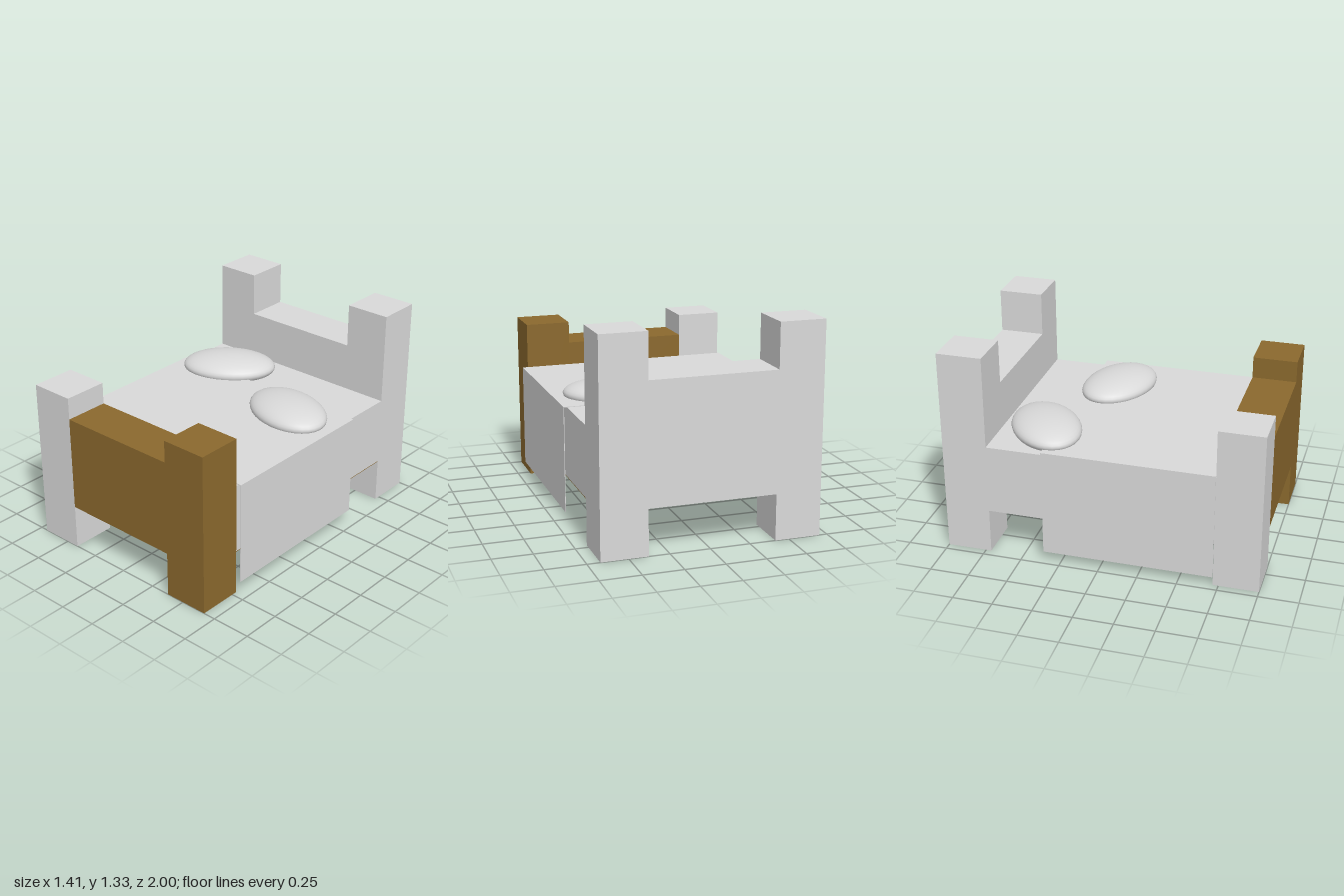
import * as THREE from 'three';

export function createModel() {
  const bed = new THREE.Group();
  bed.name = 'bed';
  const grey = new THREE.MeshStandardMaterial({ color: 0xd9d9d9 });
  grey.name = 'pale grey';
  const brown = new THREE.MeshStandardMaterial({ color: 0x8b692e });
  brown.name = 'wood brown';

  // Box given by its minimum and maximum along each axis
  function box(name, [x0, x1], [y0, y1], [z0, z1], material) {
    const mesh = new THREE.Mesh(new THREE.BoxGeometry(x1 - x0, y1 - y0, z1 - z0), material);
    mesh.position.set((x0 + x1) / 2, (y0 + y1) / 2, (z0 + z1) / 2);
    mesh.name = name;
    bed.add(mesh);
  }

  const rightX = [-0.70, -0.413], leftX = [0.38, 0.67], middleX = [-0.413, 0.38];
  const frontZ = [0.715, 1], backZ = [-1, -0.715], middleZ = [-0.715, 0.715];

  // Posts
  box('frontRightPost', rightX, [0, 1.045], frontZ, grey);
  box('frontLeftPost', leftX, [0, 1.045], frontZ, brown);
  box('backRightPost', rightX, [0, 1.325], backZ, grey);
  box('backLeftPost', leftX, [0, 1.325], backZ, grey);

  // Boards at both ends
  box('footboard', middleX, [0.29, 0.905], frontZ, brown);
  box('headboard', middleX, [0.29, 1.045], backZ, grey);

  // Mattress with a wooden underside
  box('mattress', [-0.70, 0.67], [0.292, 0.737], middleZ, grey);
  box('undersideBoard', [-0.413, 0.67], [0.288, 0.292], middleZ, brown);

  // Blanket: a thin sheet hanging down both sides
  const blanketZ = [-0.362, 0.715];
  box('blanketTop', [-0.71, 0.705], [0.751, 0.755], blanketZ, grey);
  box('blanketRightDrape', [-0.71, -0.706], [0.06, 0.753], blanketZ, grey);
  box('blanketLeftDrape', [0.701, 0.705], [0.09, 0.753], blanketZ, grey);

  // Pillows: flattened ellipsoids sunk into the bedding
  const pillowGeometry = new THREE.SphereGeometry(1, 32, 20);
  for (const [name, x, z, turn] of [['leftPillow', 0.338, -0.165, -18.4], ['rightPillow', -0.385, -0.43, 32.7]]) {
    const pillow = new THREE.Mesh(pillowGeometry, grey);
    pillow.name = name;
    pillow.scale.set(0.31, 0.087, 0.213);
    pillow.position.set(x, 0.77, z);
    pillow.rotation.y = THREE.MathUtils.degToRad(turn);
    bed.add(pillow);
  }
  return bed;
}
